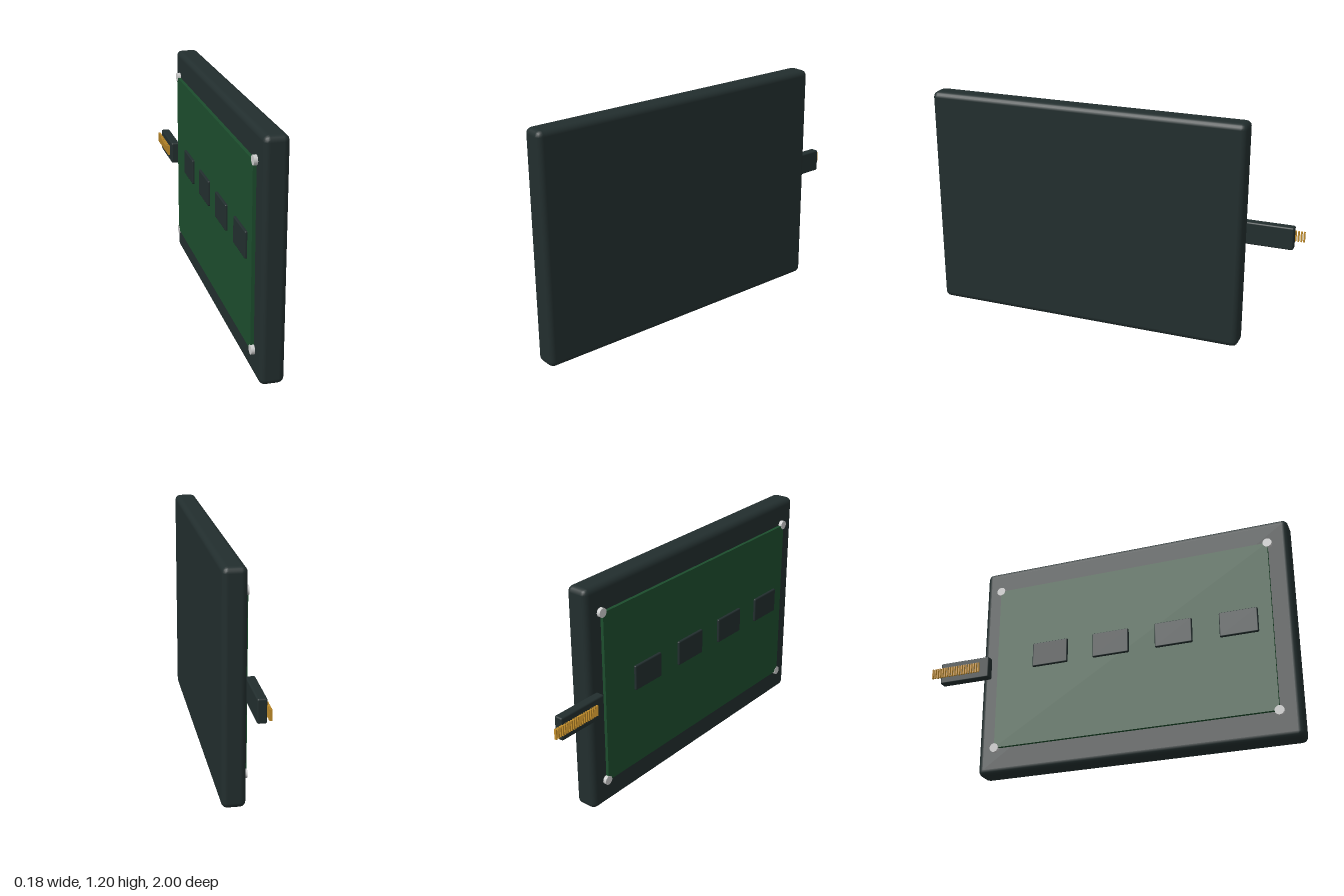
import * as THREE from 'three';
import { RoundedBoxGeometry } from 'three/addons/geometries/RoundedBoxGeometry.js';

function material(name, color) {
  const m = new THREE.MeshStandardMaterial({ color });
  m.name = name;
  return m;
}

export function createModel() {
  const group = new THREE.Group();
  const casing = material('dark casing', 0x222e2e);
  const green = material('board green', 0x1c4d2d);
  const steel = material('screw steel', 0xcccccc);
  const gold = material('contact gold', 0xc48f2c);

  const add = (name, geometry, mat, x, y, z) => {
    const mesh = new THREE.Mesh(geometry, mat);
    mesh.name = name;
    mesh.position.set(x, y, z);
    group.add(mesh);
    return mesh;
  };

  // Slab body with softened edges
  add('body', new RoundedBoxGeometry(0.12, 1.2, 1.715, 2, 0.03), casing, 0.028, 0.6, 0.14);

  // Circuit board on the -x side
  add('circuitBoard', new THREE.BoxGeometry(0.02, 0.925, 1.51), green, -0.039, 0.602, 0.135);

  // Screws at the board corners
  const screw = new THREE.CylinderGeometry(0.024, 0.024, 0.022, 16).rotateZ(Math.PI / 2);
  for (const y of [0.14, 1.065]) {
    for (const z of [-0.62, 0.89]) add('screw', screw, steel, -0.0395, y, z);
  }

  // Row of chips
  const chip = new RoundedBoxGeometry(0.022, 0.135, 0.2, 2, 0.006);
  for (let i = 0; i < 4; i++) add('chip', chip, casing, -0.05, 0.635, -0.31 + i * 0.343);

  // Edge connector reaching past the back of the body
  add('connector', new RoundedBoxGeometry(0.047, 0.12, 0.29, 2, 0.008), casing, -0.0535, 0.601, -0.807);

  // Contact pins, the last few standing beyond the connector
  const pin = new THREE.BoxGeometry(0.013, 0.054, 0.0075);
  for (let i = 0; i < 20; i++) add('contactPin', pin, gold, -0.0815, 0.602, -0.72 - i * 0.01455);

  return group;
}
